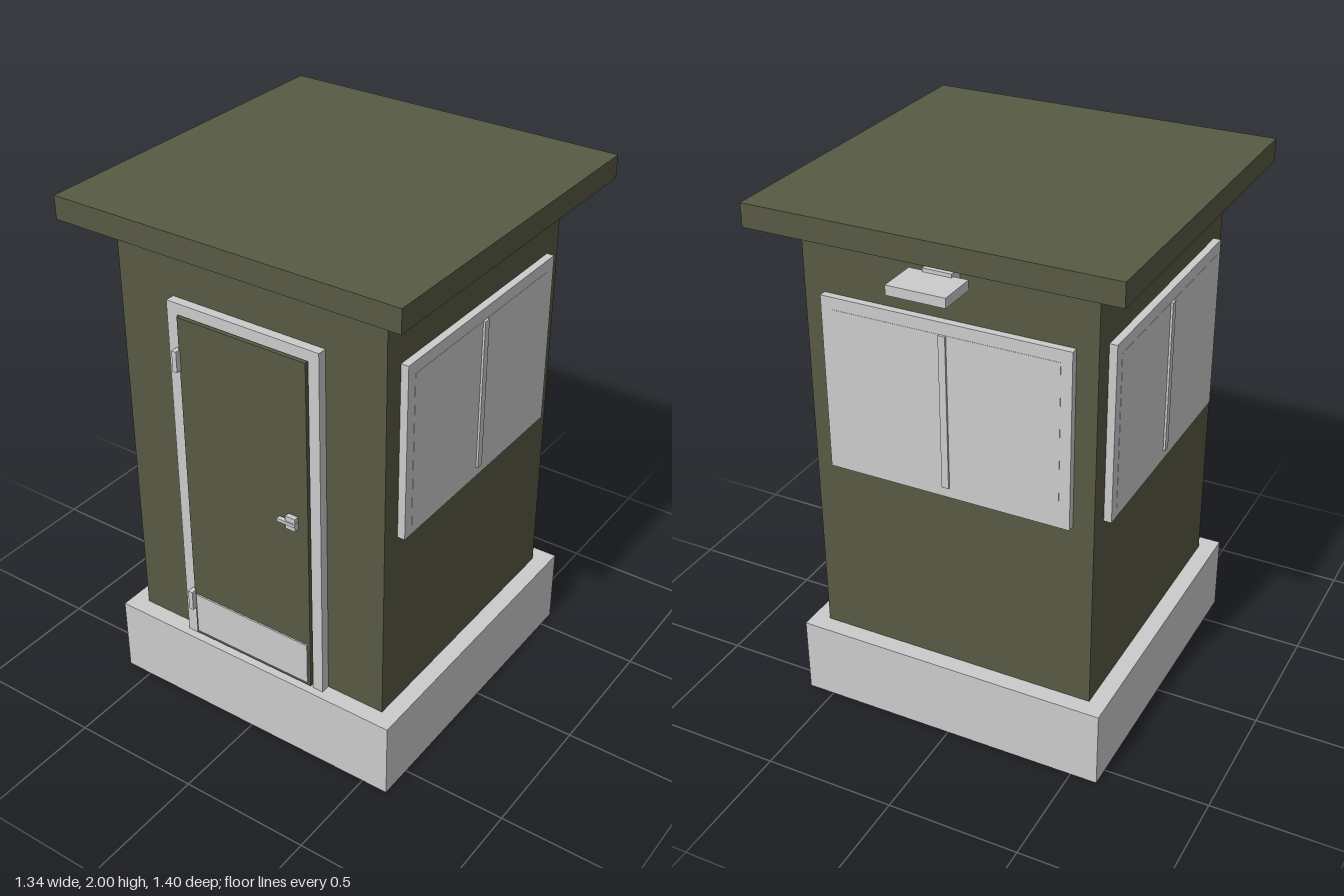
import * as THREE from 'three';

const grey = new THREE.MeshStandardMaterial({ color: 0xcccccc });
const olive = new THREE.MeshStandardMaterial({ color: 0x575a43 });

// Box given by its limits on each axis
function box(parent, name, [x0, x1], [y0, y1], [z0, z1], material = grey) {
  const mesh = new THREE.Mesh(new THREE.BoxGeometry(x1 - x0, y1 - y0, z1 - z0), material);
  mesh.position.set((x0 + x1) / 2, (y0 + y1) / 2, (z0 + z1) / 2);
  mesh.name = name;
  parent.add(mesh);
  return mesh;
}

// Window facing +z, with its back at z = 0
function createWindow(name) {
  const win = new THREE.Group();
  win.name = name;
  box(win, 'windowFrame', [-0.46, 0.46], [1.015, 1.675], [-0.01, 0.028]);
  box(win, 'windowPane', [-0.42, 0.42], [1.055, 1.63], [0, 0.029]);
  box(win, 'windowMullion', [-0.013, 0.013], [1.055, 1.63], [0, 0.037]);
  return win;
}

// Door with surround, kick plate, hinges and handle
function createDoor() {
  const door = new THREE.Group();
  door.name = 'door';

  const outline = new THREE.Shape();
  outline.moveTo(-0.307, 0.3).lineTo(-0.265, 0.3).lineTo(-0.265, 1.645).lineTo(0.265, 1.645);
  outline.lineTo(0.265, 0.3).lineTo(0.307, 0.3).lineTo(0.307, 1.687).lineTo(-0.307, 1.687).closePath();
  const frame = new THREE.Mesh(
    new THREE.ExtrudeGeometry(outline, { depth: 0.035, bevelEnabled: false }), grey);
  frame.position.z = 0.565;
  frame.name = 'doorFrame';
  door.add(frame);

  box(door, 'doorPanel', [-0.26, 0.26], [0.31, 1.64], [0.56, 0.608], olive);
  box(door, 'kickPlate', [-0.25, 0.25], [0.325, 0.495], [0.6, 0.614]);
  for (const y of [0.47, 1.48]) {
    box(door, 'hinge', [-0.274, -0.255], [y - 0.04, y + 0.04], [0.595, 0.629]);
  }
  box(door, 'handlePlate', [0.18, 0.22], [0.985, 1.035], [0.6, 0.627]);
  box(door, 'handleLever', [0.148, 0.222], [1.004, 1.016], [0.615, 0.632]);
  return door;
}

export function createModel() {
  const model = new THREE.Group();
  model.name = 'guardBooth';

  // Plinth, walls and overhanging roof
  box(model, 'plinth', [-0.602, 0.602], [0, 0.3], [-0.574, 0.63]);
  box(model, 'walls', [-0.537, 0.537], [0.3, 1.915], [-0.508, 0.565], olive);
  box(model, 'roof', [-0.671, 0.671], [1.915, 2], [-0.642, 0.699], olive);

  model.add(createDoor());

  // Windows on both sides and the back
  for (const side of [-1, 1]) {
    const win = createWindow(side > 0 ? 'leftWindow' : 'rightWindow');
    win.position.set(side * 0.537, 0, 0.0285);
    win.rotation.y = side * Math.PI / 2;
    model.add(win);
  }
  const backWindow = createWindow('backWindow');
  backWindow.position.z = -0.508;
  backWindow.rotation.y = Math.PI;
  model.add(backWindow);

  // Lamp above the back window
  const lamp = new THREE.Group();
  lamp.name = 'lamp';
  box(lamp, 'lampMount', [-0.053, 0.053], [1.77, 1.865], [-0.561, -0.5]);
  box(lamp, 'lampHead', [-0.107, 0.107], [1.817, 1.852], [-0.698, -0.55]);
  model.add(lamp);

  return model;
}
